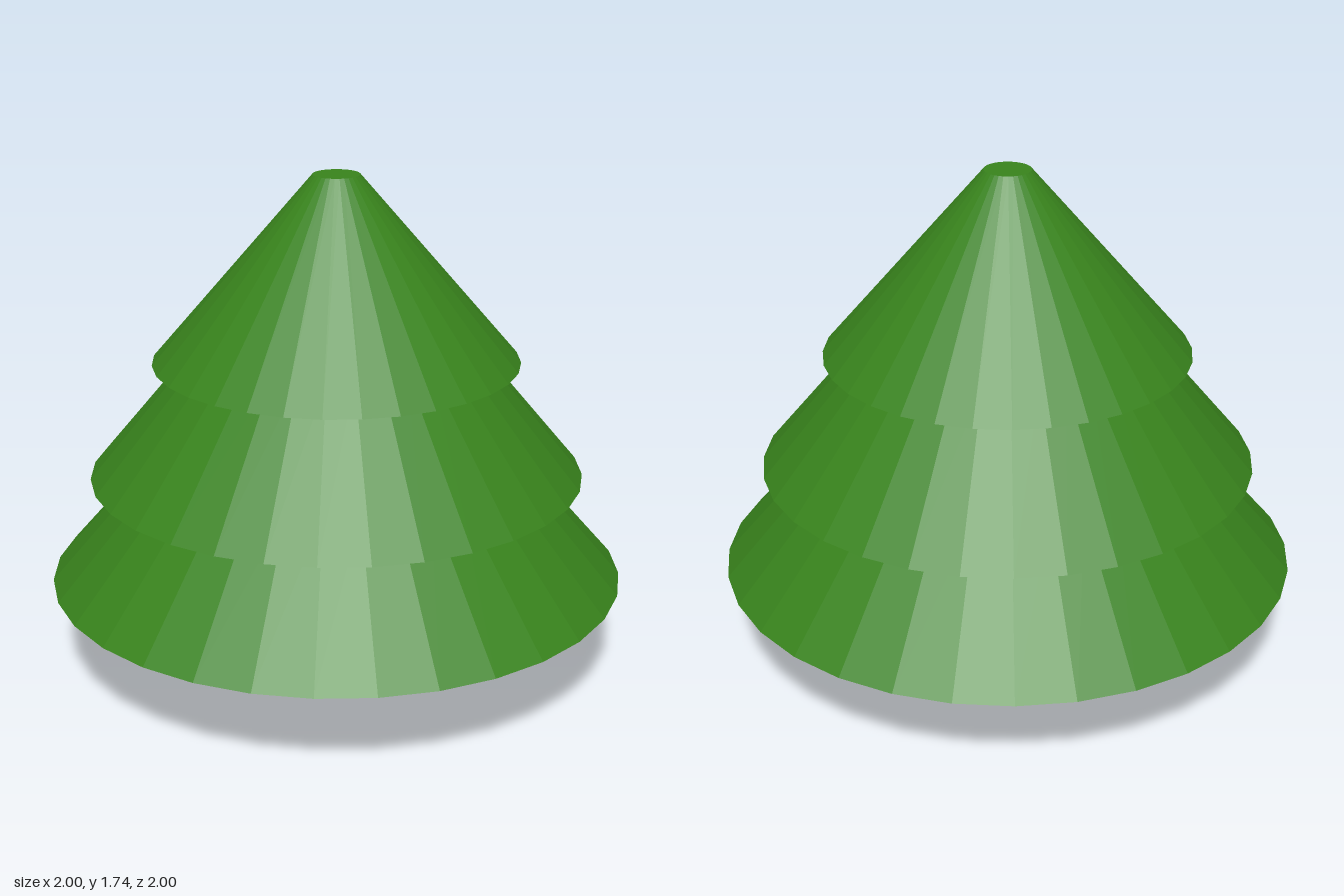
import * as THREE from 'three';

const SIDES = 32;

// Closed, faceted tapered cylinder spanning y0 to y1
function taper(name, r0, r1, y0, y1, material) {
  const geometry = new THREE.CylinderGeometry(r1, r0, y1 - y0, SIDES);
  geometry.translate(0, (y0 + y1) / 2, 0);
  const mesh = new THREE.Mesh(geometry, material);
  mesh.name = name;
  return mesh;
}

export function createModel() {
  const group = new THREE.Group();
  group.name = 'pineTree';
  const bark = new THREE.MeshStandardMaterial({ color: 0xa0644b, flatShading: true });
  const leaf = new THREE.MeshStandardMaterial({ color: 0x38831c, flatShading: true });

  // Trunk
  group.add(taper('trunk', 0.367, 0.367, 0, 0.36, bark));

  // Foliage tiers: lower ones run a little way up inside the next
  const tiers = [
    ['lowerFoliage', 0.998, 0.61, 0.33, 0.775],
    ['middleFoliage', 0.853, 0.46, 0.70, 1.17],
    ['topFoliage', 0.63, 0.08, 1.10, 1.74],
  ];
  for (const [name, r0, r1, y0, y1] of tiers) group.add(taper(name, r0, r1, y0, y1, leaf));

  return group;
}
